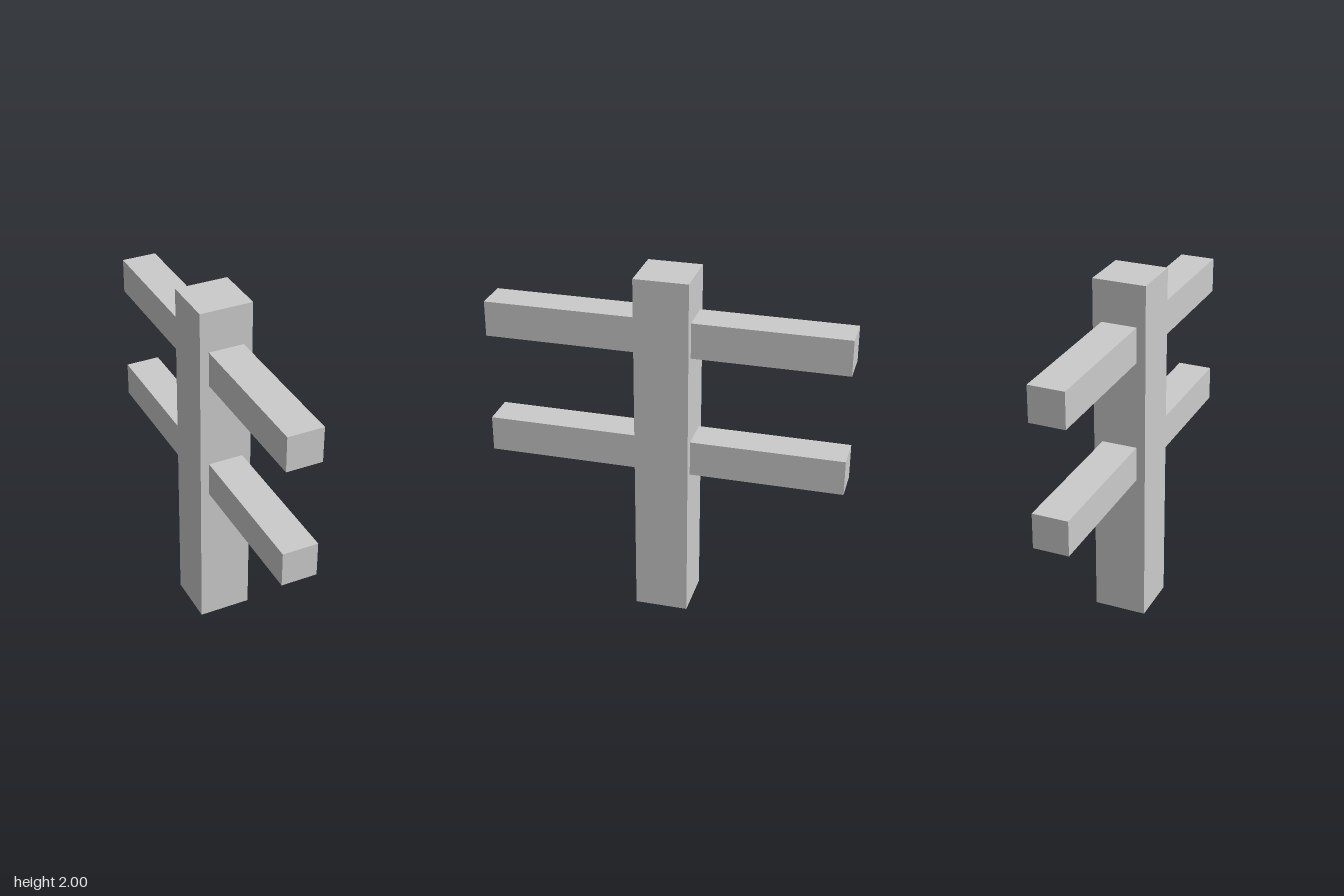
import * as THREE from 'three';

export function createModel() {
  const group = new THREE.Group();
  const material = new THREE.MeshStandardMaterial({ color: 0xcccccc, flatShading: true });

  const addBeam = (name, width, height, depth, y) => {
    const beam = new THREE.Mesh(new THREE.BoxGeometry(width, height, depth), material);
    beam.name = name;
    beam.position.y = y;
    group.add(beam);
  };

  // Square upright post
  addBeam('post', 0.3, 2, 0.3, 1);

  // Crossbeams running through the post from front to back
  addBeam('lowerCrossbeam', 0.2, 0.2, 2, 0.966);
  addBeam('upperCrossbeam', 0.2, 0.2, 2, 1.666);

  return group;
}
